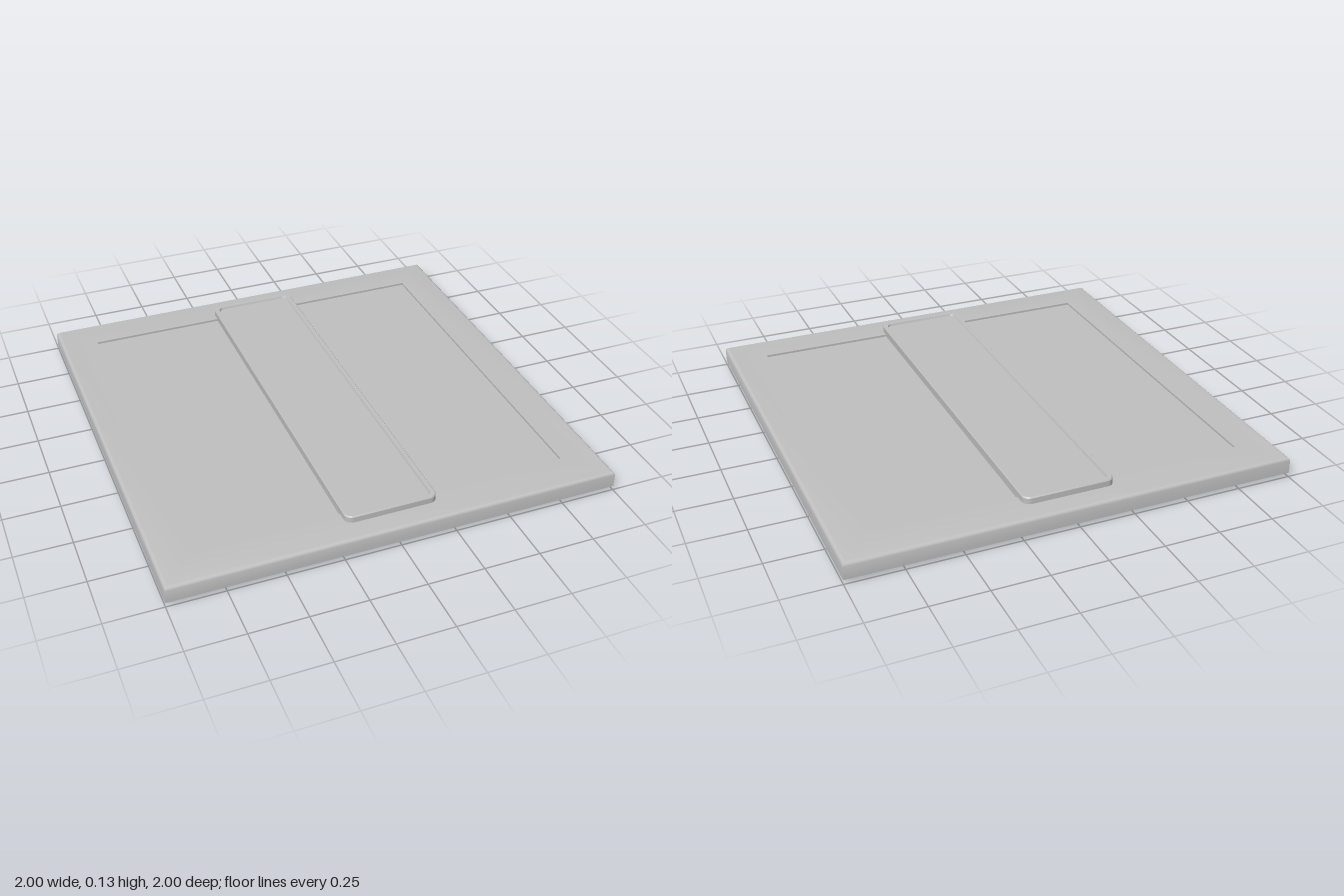
import * as THREE from 'three';
import { toCreasedNormals } from 'three/addons/utils/BufferGeometryUtils.js';

// Outline of a rectangle with rounded corners at height y
function outline([hx, hz, r, y]) {
  const steps = r > 0 ? 6 : 0, points = [];
  for (let corner = 0; corner < 4; corner++) {
    const sx = corner === 0 || corner === 3 ? 1 : -1;
    const sz = corner < 2 ? 1 : -1;
    for (let i = 0; i <= steps; i++) {
      const a = (corner + (steps ? i / steps : 0)) * Math.PI / 2;
      points.push([sx * (hx - r) + r * Math.cos(a), y, sz * (hz - r) + r * Math.sin(a)]);
    }
  }
  return points;
}

// Skin over outlines given from the bottom upward, closed at both ends
function loft(name, sections, material) {
  const rings = sections.map(outline), n = rings[0].length, pos = [];
  const tri = (a, b, c) => pos.push(...a, ...b, ...c);
  for (let i = 0; i < rings.length - 1; i++) {
    for (let j = 0; j < n; j++) {
      const k = (j + 1) % n;
      tri(rings[i][j], rings[i + 1][j], rings[i][k]);
      tri(rings[i][k], rings[i + 1][j], rings[i + 1][k]);
    }
  }
  const bottom = rings[0], top = rings[rings.length - 1];
  for (let j = 0; j < n; j++) {
    const k = (j + 1) % n;
    tri([0, bottom[0][1], 0], bottom[j], bottom[k]);
    tri([0, top[0][1], 0], top[k], top[j]);
  }
  const geometry = new THREE.BufferGeometry();
  geometry.setAttribute('position', new THREE.Float32BufferAttribute(pos, 3));
  const mesh = new THREE.Mesh(toCreasedNormals(geometry, 0.6), material);
  mesh.name = name;
  return mesh;
}

export function createModel() {
  const model = new THREE.Group();
  model.name = 'squarePanel';
  const grey = new THREE.MeshStandardMaterial({ color: 0xc0c0c0 });
  grey.name = 'light grey';

  // Foot plate under the slab
  model.add(loft('footPlate', [
    [0.945, 0.945, 0, 0],
    [0.955, 0.955, 0, 0.008],
    [0.955, 0.955, 0, 0.021],
  ], grey));

  // Slab with a softened top edge and a shallow square recess
  model.add(loft('recessedSlab', [
    [1, 1, 0, 0.02],
    [1, 1, 0, 0.08],
    [0.997, 0.997, 0, 0.088],
    [0.991, 0.991, 0, 0.093],
    [0.982, 0.982, 0, 0.095],
    [0.83, 0.83, 0, 0.095],
    [0.83, 0.83, 0, 0.085],
  ], grey));

  // Raised centre strip with a rounded rim and sunken top
  model.add(loft('centreStrip', [
    [0.206, 0.902, 0.035, 0.08],
    [0.206, 0.902, 0.035, 0.121],
    [0.202, 0.898, 0.031, 0.126],
    [0.184, 0.88, 0.024, 0.126],
    [0.18, 0.876, 0.02, 0.116],
  ], grey));

  return model;
}
